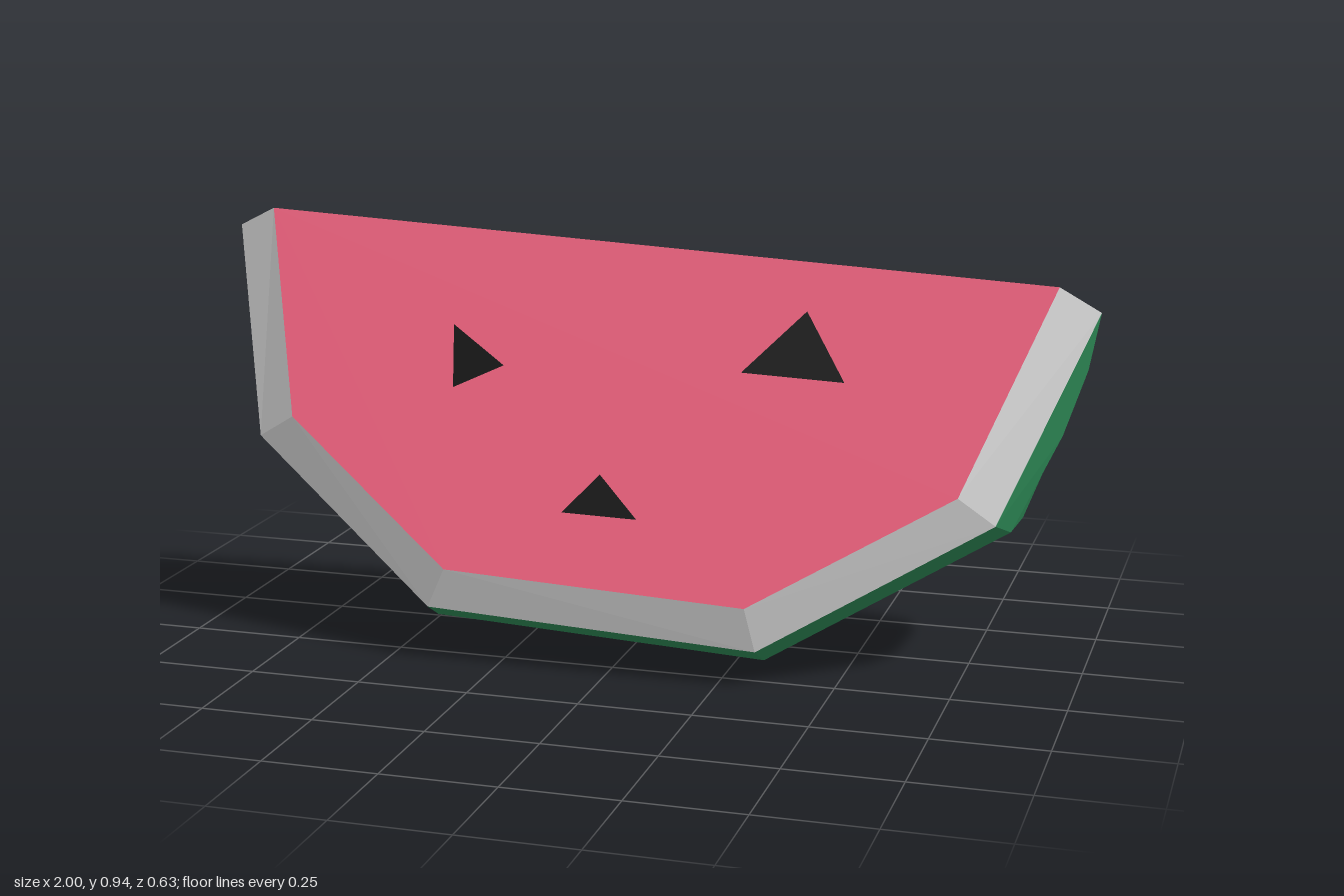
import * as THREE from 'three';

const frontZ = (x, y) => 0.407 - 0.045 * x - 0.516 * y;
const backZ = (x, y) => -0.348 + 0.0015 * x + 0.3276 * y;
const on = (plane, pts) => pts.map(([x, y]) => [x, y, plane(x, y)]);

// Triangles between two arcs that both run from -x to +x
function strip(a, b) {
  const tris = [];
  for (let i = 0; i < a.length - 1; i++) {
    tris.push([a[i], b[i], b[i + 1]], [a[i], b[i + 1], a[i + 1]]);
  }
  return tris;
}

// Triangles filling a convex polygon
function fan(p) {
  return p.slice(2).map((q, i) => [p[0], p[i + 1], q]);
}

function facetMesh(name, color, tris) {
  const geo = new THREE.BufferGeometry();
  geo.setAttribute('position', new THREE.Float32BufferAttribute(tris.flat(2), 3));
  geo.computeVertexNormals();
  const mesh = new THREE.Mesh(geo, new THREE.MeshStandardMaterial({ color, flatShading: true }));
  mesh.name = name;
  return mesh;
}

export function createModel() {
  const group = new THREE.Group();
  group.name = 'melonSlice';

  // Wedge tips: outer point, then the two rind corners under it
  const endR = [-1, 0.9, -0.055], endL = [1, 0.79, -0.09];
  const midR = [-0.94, 0.63, -0.03], midL = [0.93, 0.52, -0.06];
  const lowR = [-0.975, 0.76, -0.07], lowL = [0.975, 0.66, -0.1];

  // Arcs around the slice, from the front flesh under the rind to the back flesh
  const frontInner = on(frontZ, [
    [-0.91, 0.945], [-0.78, 0.505], [-0.37, 0.215], [0.31, 0.18], [0.74, 0.42], [0.91, 0.845]]);
  const frontOuter = [endR, [-0.87, 0.45, 0.16], [-0.41, 0.125, 0.31],
    [0.335, 0.085, 0.3], [0.82, 0.36, 0.14], endL];
  const rindFront = [midR, [-0.89, 0.42, 0.07], [-0.42, 0.08, 0.22],
    [0.335, 0.04, 0.215], [0.84, 0.325, 0.05], midL];
  const rindBack = [lowR, [-0.9, 0.41, -0.11], [-0.43, 0.045, -0.22],
    [0.335, 0.003, -0.23], [0.84, 0.31, -0.135], lowL];
  const backOuter = [lowR, [-0.87, 0.42, -0.18], [-0.41, 0.07, -0.295],
    [0.335, 0.03, -0.3], [0.83, 0.325, -0.205], lowL];
  const backInner = [endR, ...on(backZ, [
    [-0.8, 0.46], [-0.39, 0.14], [0.31, 0.1], [0.78, 0.38]]), endL];

  // Flesh: two sloping faces meeting at the ridge
  const pink = 0xf0627f;
  group.add(facetMesh('frontFlesh', pink, fan(frontInner)));
  group.add(facetMesh('backFlesh', pink,
    fan([...backInner, frontInner[5], frontInner[0]].reverse())));

  // Pale inner rind bands
  group.add(facetMesh('frontPith', 0xcccccc, strip(frontInner, frontOuter)));
  group.add(facetMesh('backPith', 0xcccccc, strip(backOuter, backInner)));

  // Green rind with its small end facets
  group.add(facetMesh('rind', 0x2e8b57, [
    ...strip(frontOuter, rindFront),
    ...strip(rindFront, rindBack),
    ...strip(rindBack, backOuter).filter(([a, b, c]) => a !== b && b !== c && a !== c),
    [endL, midL, lowL], [endR, lowR, midR]]));

  // Seeds: flat triangles lying just off the flesh
  const frontSeeds = [
    [[-0.43, 0.715], [-0.41, 0.585], [-0.3, 0.635]],
    [[0.24, 0.645], [0.47, 0.635], [0.37, 0.775]],
    [[-0.12, 0.345], [0.05, 0.34], [-0.045, 0.425]]];
  const backSeeds = [
    [[0.725, 0.66], [0.51, 0.62], [0.505, 0.495]],
    [[0.055, 0.587], [-0.07, 0.495], [0.058, 0.407]],
    [[-0.41, 0.65], [-0.54, 0.72], [-0.6, 0.597]],
    [[-0.35, 0.28], [-0.435, 0.394], [-0.452, 0.298]]];
  const lift = 0.004;
  group.add(facetMesh('frontSeeds', 0x111111,
    frontSeeds.map(s => on((x, y) => frontZ(x, y) + lift, s))));
  group.add(facetMesh('backSeeds', 0x111111,
    backSeeds.map(s => on((x, y) => backZ(x, y) - lift, s).reverse())));

  return group;
}
